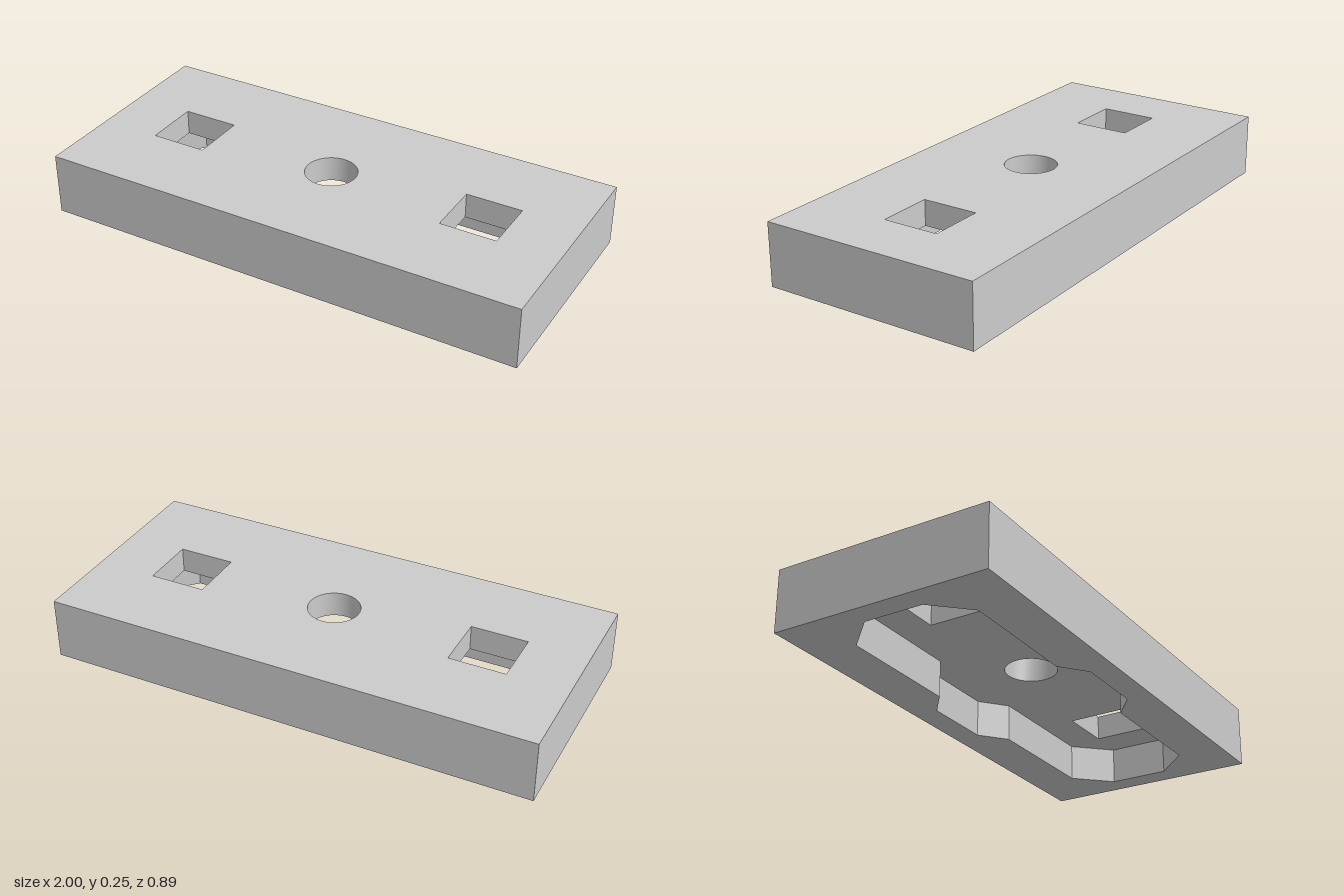
import * as THREE from 'three';
import { toCreasedNormals } from 'three/addons/utils/BufferGeometryUtils.js';

const HEIGHT = 0.254, POCKET = 0.15;
const material = new THREE.MeshStandardMaterial({ color: 0xcccccc });

// Counter-clockwise plan outlines; plan (x, y) lies at world (x, -z).
const rect = (cx, w, d) =>
  [[-1, -1], [1, -1], [1, 1], [-1, 1]].map(([i, j]) => new THREE.Vector2(cx + i * w / 2, j * d / 2));

const circle = (r, n) => Array.from({ length: n }, (_, i) =>
  new THREE.Vector2(r * Math.cos(i * 2 * Math.PI / n), r * Math.sin(i * 2 * Math.PI / n)));

// Quarter outline of the pocket, mirrored into all four quadrants.
function pocketOutline() {
  const quarter = [[0.905, 0.122], [0.772, 0.26], [0.25, 0.26], [0.145, 0.345]];
  const mirror = (sx, sy) => quarter.map(([x, y]) => new THREE.Vector2(sx * x, sy * y));
  return [...mirror(1, 1), ...mirror(-1, 1).reverse(), ...mirror(-1, -1), ...mirror(1, -1).reverse()];
}

// Flat horizontal face with holes, facing up or down.
function face(outline, holes, y, up) {
  const shape = new THREE.Shape(outline);
  shape.holes = holes.map((h) => new THREE.Path(h));
  return new THREE.ShapeGeometry(shape).rotateX(up ? -Math.PI / 2 : Math.PI / 2).translate(0, y, 0);
}

// Vertical wall around an outline, facing outward or into the opening.
function wall(outline, y0, y1, inward) {
  const pts = inward ? [...outline].reverse() : outline;
  const pos = [];
  pts.forEach((a, i) => {
    const b = pts[(i + 1) % pts.length];
    pos.push(a.x, y0, -a.y, b.x, y0, -b.y, b.x, y1, -b.y);
    pos.push(a.x, y0, -a.y, b.x, y1, -b.y, a.x, y1, -a.y);
  });
  const geometry = new THREE.BufferGeometry();
  geometry.setAttribute('position', new THREE.Float32BufferAttribute(pos, 3));
  return toCreasedNormals(geometry, 0.4);
}

export function createModel() {
  const group = new THREE.Group();
  group.name = 'mountingBlock';
  const add = (name, geometry) => {
    const mesh = new THREE.Mesh(geometry, material);
    mesh.name = name;
    group.add(mesh);
  };

  const block = rect(0, 2, 0.894);
  const pocket = pocketOutline();
  const holes = {
    leftSquareHole: rect(0.64, 0.23, 0.23),
    rightSquareHole: rect(-0.64, 0.23, 0.23),
    centreRoundHole: circle(0.104, 48),
  };
  const openings = Object.values(holes);

  // Outer block
  add('outerWalls', wall(block, 0, HEIGHT, false));
  add('topFace', face(block, openings, HEIGHT, true));
  add('bottomFace', face(block, [pocket], 0, false));

  // Recess in the underside
  add('pocketWalls', wall(pocket, 0, POCKET, true));
  add('pocketRoof', face(pocket, openings, POCKET, false));

  // Through holes from the pocket to the top
  for (const [name, outline] of Object.entries(holes)) add(name, wall(outline, POCKET, HEIGHT, true));

  return group;
}
